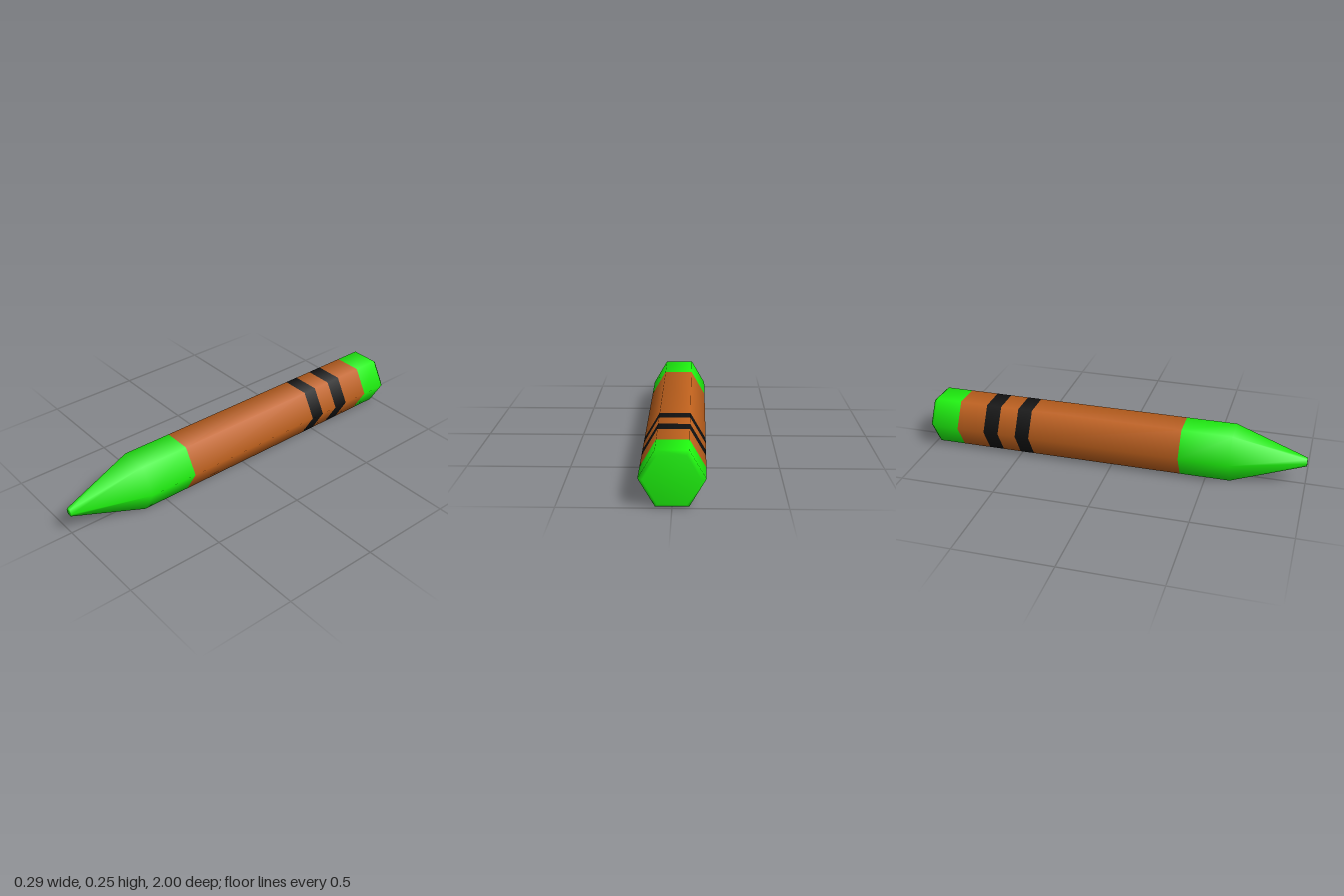
import * as THREE from 'three';

const R = 0.147;                          // corner radius of the hexagonal barrel
const AXIS_Y = R * Math.cos(Math.PI / 6); // height of the axis when lying on a flat side

const green = new THREE.MeshStandardMaterial({ color: 0x1ff50f });
const orange = new THREE.MeshStandardMaterial({ color: 0xbf611d });
const black = new THREE.MeshStandardMaterial({ color: 0x111111 });

// Six-sided section along z from [radius, z] pairs, smooth around the axis
function hexPart(name, material, profile) {
  const points = profile.map(([r, z]) => new THREE.Vector2(r, z));
  const geometry = new THREE.LatheGeometry(points, 6, Math.PI / 2);
  geometry.rotateX(Math.PI / 2);
  const mesh = new THREE.Mesh(geometry, material);
  mesh.name = name;
  mesh.position.y = AXIS_Y;
  return mesh;
}

export function createModel() {
  const crayon = new THREE.Group();
  crayon.name = 'crayon';

  // Rear end with a small bevel
  crayon.add(hexPart('rearEnd', green, [[0, -1], [R - 0.02, -1], [R, -0.98], [R, -0.84]]));

  // Paper wrapper with two dark bands
  const bands = [
    ['wrapperRear', orange, -0.84, -0.69],
    ['rearStripe', black, -0.69, -0.61],
    ['wrapperMiddle', orange, -0.61, -0.513],
    ['frontStripe', black, -0.513, -0.437],
    ['wrapperFront', orange, -0.437, 0.365],
  ];
  for (const [name, material, z0, z1] of bands) {
    crayon.add(hexPart(name, material, [[R, z0], [R, z1]]));
  }

  // Exposed wax, tapering to a small blunt tip
  crayon.add(hexPart('waxTip', green, [[R, 0.365], [R, 0.625], [0.022, 1], [0, 1]]));

  return crayon;
}
